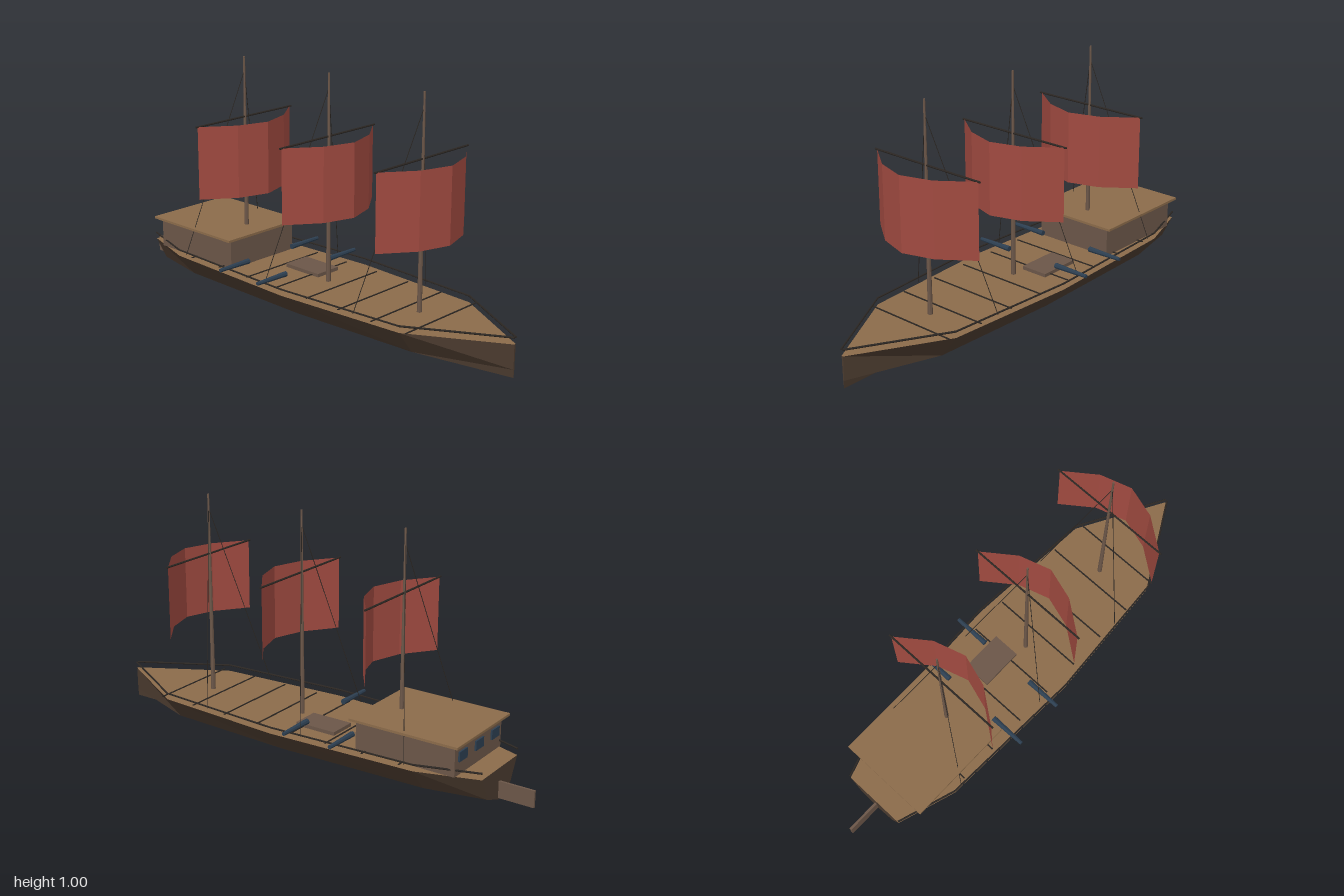
import * as THREE from 'three';

const mat = (name, color, side = THREE.FrontSide) => {
  const m = new THREE.MeshStandardMaterial({ color, side, flatShading: true });
  m.name = name;
  return m;
};

export function createModel() {
  const ship = new THREE.Group();
  ship.name = 'sailingShip';
  const hullWood = mat('dark hull wood', 0x4a3a2e);
  const deckWood = mat('deck wood', 0x8b6b4a);
  const midWood = mat('brown wood', 0x6b5648);
  const cloth = mat('red sailcloth', 0xa04a40, THREE.DoubleSide);
  const iron = mat('blue iron', 0x2c3e50);
  const rope = mat('dark rope', 0x2b2622);

  const add = (name, geometry, material, x = 0, y = 0, z = 0) => {
    const m = new THREE.Mesh(geometry, material);
    m.name = name;
    m.position.set(x, y, z);
    ship.add(m);
    return m;
  };
  const box = (name, w, h, d, material, x, y, z) =>
    add(name, new THREE.BoxGeometry(w, h, d), material, x, y, z);
  // Round bar between two points
  const bar = (name, a, b, rA, rB, sides, material) => {
    const from = new THREE.Vector3(...a), to = new THREE.Vector3(...b);
    const dir = to.clone().sub(from);
    const m = add(name, new THREE.CylinderGeometry(rB, rA, dir.length(), sides), material);
    m.position.copy(from).add(to).multiplyScalar(0.5);
    m.quaternion.setFromUnitVectors(new THREE.Vector3(0, 1, 0), dir.normalize());
    return m;
  };
  const surface = (quads) => {
    const pos = [];
    for (const [a, b, c, d] of quads) pos.push(...a, ...b, ...c, ...a, ...c, ...d);
    const g = new THREE.BufferGeometry();
    g.setAttribute('position', new THREE.Float32BufferAttribute(pos, 3));
    g.computeVertexNormals();
    return g;
  };

  // Hull stations: [z, half width at deck]
  const stations = [[1, 0.004], [0.63, 0.212], [0.05, 0.25], [-0.6, 0.222], [-0.85, 0.14]];
  const deckY = 0.135, chineY = 0.035;
  const sections = stations.map(([z, w]) => [
    [w, deckY, z], [w * 0.64, chineY, z], [0, 0.002, z], [-w * 0.64, chineY, z], [-w, deckY, z],
  ]);
  const shell = [], planking = [];
  for (let s = 0; s < sections.length - 1; s++) {
    const p = sections[s], q = sections[s + 1];
    for (let i = 0; i < 4; i++) shell.push([p[i], p[i + 1], q[i + 1], q[i]]);
    planking.push([p[0], q[0], q[4], p[4]]);
  }
  // Transom and stem
  const t = sections[sections.length - 1], b = sections[0];
  shell.push([t[0], t[1], t[3], t[4]], [t[1], t[2], t[3], t[3]]);
  shell.push([b[4], b[3], b[1], b[0]], [b[3], b[2], b[1], b[1]]);
  add('hull', surface(shell), hullWood);
  add('deck', surface(planking), deckWood);
  box('rudder', 0.01, 0.07, 0.15, midWood, 0, 0.045, -0.925);

  // Plank seams
  for (let i = 0; i < 8; i++) {
    box('plankSeam', 0.42, 0.003, 0.006, rope, 0, 0.14, 0.66 - i * 0.17);
  }

  // Rails along both deck edges
  for (const side of [1, -1]) {
    for (let s = 0; s < stations.length - 1; s++) {
      const [z0, w0] = stations[s], [z1, w1] = stations[s + 1];
      bar('rail', [side * w0, 0.162, z0], [side * w1, 0.162, z1], 0.004, 0.004, 6, rope);
    }
  }

  // Stern cabin with three windows
  box('cabin', 0.36, 0.125, 0.44, midWood, 0, 0.1975, -0.535);
  box('cabinRoof', 0.41, 0.01, 0.48, deckWood, 0, 0.265, -0.538);
  for (const x of [-0.125, 0, 0.125]) {
    box('cabinWindow', 0.06, 0.04, 0.008, iron, x, 0.21, -0.758);
  }

  // Deck hatch
  box('hatch', 0.12, 0.015, 0.185, midWood, 0.06, 0.1425, -0.078);

  // Cannons
  for (const z of [-0.265, -0.045]) {
    for (const side of [1, -1]) {
      bar('cannon', [side * 0.128, 0.17, z], [side * 0.287, 0.17, z], 0.012, 0.008, 8, iron);
    }
  }

  // Masts, each with a yard, a bellied sail and two shrouds
  const half = 0.263, belly = 0.138, low = 0.437, high = 0.745;
  for (const z of [0.553, 0.073, -0.41]) {
    bar('mast', [0, 0.135, z], [0, 1, z], 0.01, 0.004, 8, midWood);
    bar('yard', [-0.272, high, z], [0.272, high, z], 0.004, 0.004, 6, rope);
    const strips = [];
    const edge = (i, y) => [half * (i / 2 - 1), y, z + belly * Math.sin(Math.PI * i / 4)];
    for (let i = 0; i < 4; i++) {
      strips.push([edge(i, low), edge(i + 1, low), edge(i + 1, high), edge(i, high)]);
    }
    add('sail', surface(strips), cloth);
    for (const side of [1, -1]) {
      bar('shroud', [0, 0.94, z], [side * 0.217, 0.148, z - 0.148], 0.0015, 0.0015, 4, rope);
    }
  }
  return ship;
}
